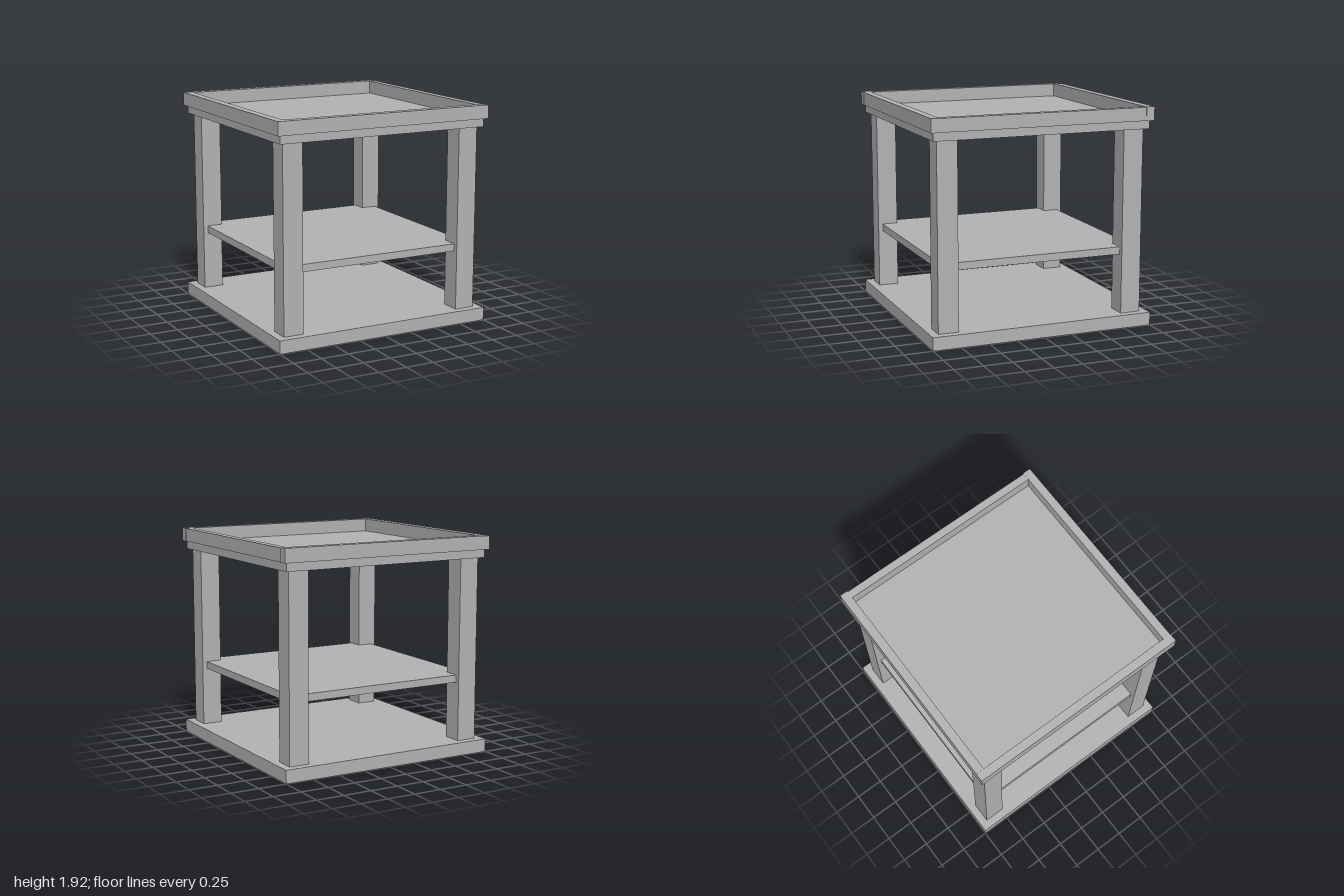
import * as THREE from 'three';

export function createModel() {
  const model = new THREE.Group();
  model.name = 'sideTable';
  const grey = new THREE.MeshStandardMaterial({ color: 0xb2b2b2 });
  grey.name = 'plainGrey';

  // Box given by its minimum and maximum corners
  function slab(name, [x0, y0, z0], [x1, y1, z1], parent = model) {
    const mesh = new THREE.Mesh(new THREE.BoxGeometry(x1 - x0, y1 - y0, z1 - z0), grey);
    mesh.position.set((x0 + x1) / 2, (y0 + y1) / 2, (z0 + z1) / 2);
    mesh.name = name;
    parent.add(mesh);
  }

  // Base, middle shelf (its corners sit inside the legs) and top panel
  slab('base', [-1, 0, -1], [1, 0.115, 1]);
  slab('shelf', [-0.89, 0.635, -0.89], [0.89, 0.7, 0.89]);
  slab('topPanel', [-0.97, 1.73, -0.97], [0.97, 1.802, 0.97]);

  // Four square legs
  const legs = new THREE.Group();
  legs.name = 'legs';
  model.add(legs);
  for (const x of [-0.84, 0.84]) {
    for (const z of [-0.84, 0.84]) {
      slab('leg', [x - 0.09, 0.115, z - 0.09], [x + 0.09, 1.73, z + 0.09], legs);
    }
  }

  // Raised rim; the right-hand rail is set in slightly between front and back
  const rim = new THREE.Group();
  rim.name = 'rim';
  model.add(rim);
  slab('rimBack', [-0.925, 1.802, -1], [1, 1.922, -0.925], rim);
  slab('rimFront', [-0.925, 1.802, 0.925], [1, 1.92, 0.997], rim);
  slab('rimLeft', [-1, 1.802, -1], [-0.925, 1.92, 1], rim);
  slab('rimRight', [0.925, 1.802, -0.925], [0.993, 1.918, 0.925], rim);

  return model;
}
